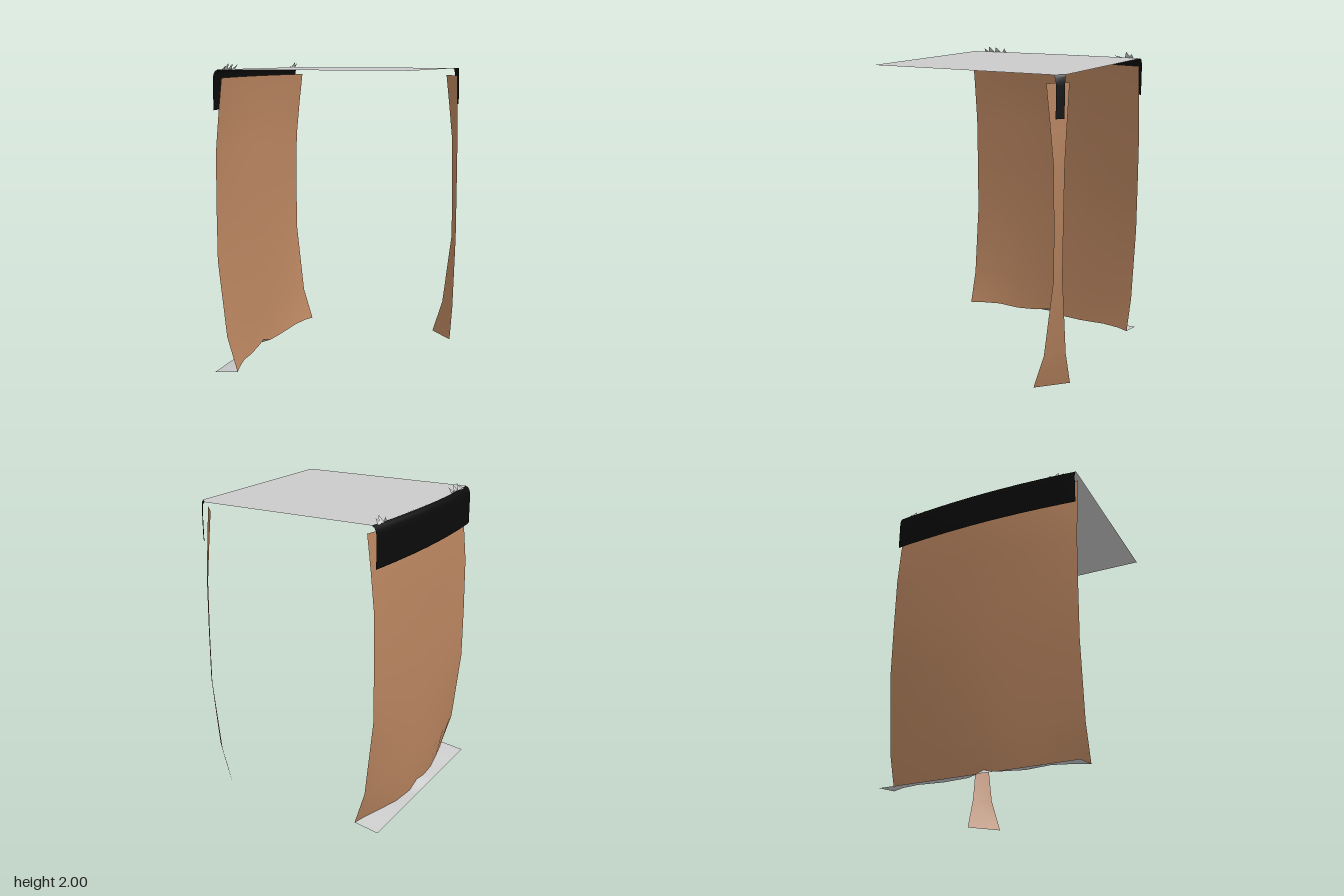
import * as THREE from 'three';

const H = 0.65; // half of the square footprint
const mat = (name, color) => new THREE.MeshStandardMaterial({ name, color, side: THREE.DoubleSide });

// Grid surface from a rule (row, column) -> [x, y, z]
function surface(rows, cols, rule) {
  const pos = [], index = [];
  for (let r = 0; r < rows; r++) {
    for (let c = 0; c < cols; c++) pos.push(...rule(r, c));
  }
  for (let r = 0; r < rows - 1; r++) {
    for (let c = 0; c < cols - 1; c++) {
      const a = r * cols + c, b = a + cols;
      index.push(a, a + 1, b, b, a + 1, b + 1);
    }
  }
  const g = new THREE.BufferGeometry();
  g.setAttribute('position', new THREE.Float32BufferAttribute(pos, 3));
  g.setIndex(index);
  g.computeVertexNormals();
  return g;
}

export function createModel() {
  const group = new THREE.Group();
  const brown = mat('brown', 0xb8845f);
  const black = mat('black', 0x0a0a0a);
  const grey = mat('grey', 0xcacaca);
  const add = (name, geometry, material) => {
    const m = new THREE.Mesh(geometry, material);
    m.name = name;
    group.add(m);
  };

  // Stations along the wall, with the wavy height of its lower edge
  const hem = [
    [-0.65, 0.025], [-0.57, 0.03], [-0.45, 0.025], [-0.25, 0.005], [-0.08, 0.005], [0.02, 0.04],
    [0.13, 0.018], [0.28, 0.01], [0.43, 0.027], [0.57, 0.025], [0.65, 0.02],
  ];
  const bow = (z) => (z / H) ** 2;

  // Wall profile: height, x at the ends, x in the middle
  const wall = [
    [0.025, -0.485, -0.59], [0.25, -0.555, -0.62], [0.75, -0.61, -0.645],
    [1.1, -0.61, -0.648], [1.45, -0.605, -0.645], [1.7, -0.58, -0.638], [1.91, -0.555, -0.615],
  ];
  const wallX = (r, z) => wall[r][2] + (wall[r][1] - wall[r][2]) * bow(z);
  add('sideWall', surface(wall.length, hem.length, (r, c) => {
    const [z, low] = hem[c];
    return [wallX(r, z), r ? wall[r][0] : low, z];
  }), brown);

  // Floor strip from the outer edge to the foot of the wall
  add('floorStrip', surface(2, hem.length, (r, c) => {
    const [z, low] = hem[c];
    return r ? [wallX(0, z), low, z] : [-H, 0, z];
  }), grey);

  // Rounded black band over the top of the wall
  const band = [[-0.65, 1.71], [-0.65, 1.9], [-0.645, 1.93], [-0.635, 1.95], [-0.617, 1.96]];
  add('topBand', surface(band.length, hem.length, (r, c) => {
    const z = hem[c][0];
    return [band[r][0] + 0.035 * bow(z), band[r][1], z];
  }), black);

  // Narrow panel across the back corner: height, distance cut from the corner
  const strip = [
    [0.025, 0.17], [0.25, 0.1], [0.75, 0.04], [1.1, 0.042], [1.45, 0.05], [1.7, 0.076], [1.91, 0.1],
  ];
  const diagonal = (profile) => surface(profile.length, 2, (r, c) => {
    const [y, d] = profile[r];
    return c ? [H, y, -H + d] : [H - d, y, -H];
  });
  add('cornerPanel', diagonal(strip), brown);
  add('cornerBand', diagonal([[1.71, 0.038], [1.9, 0.038], [1.945, 0.043], [1.96, 0.055]]), black);

  // Flat roof, curved along the wall and cut at the back corner
  const roof = new THREE.Shape();
  roof.moveTo(H, -H);
  roof.lineTo(H, H - 0.055);
  roof.lineTo(H - 0.055, H);
  for (let i = hem.length - 1; i >= 0; i--) {
    const z = -hem[i][0];
    roof.lineTo(-0.617 + 0.035 * bow(z), -hem[hem.length - 1 - i][0]);
  }
  const roofGeo = new THREE.ShapeGeometry(roof);
  roofGeo.rotateX(-Math.PI / 2).translate(0, 1.96, 0);
  add('roof', roofGeo, grey);

  // Small ragged tears standing up at the roof edge: z start, tip z, z end, tip height
  const tears = [
    [0.57, 0.56, 0.53, 1.985], [0.54, 0.52, 0.485, 2], [0.49, 0.465, 0.43, 1.995], [0.43, 0.395, 0.39, 1.99],
    [-0.54, -0.46, -0.5, 1.975], [-0.53, -0.55, -0.585, 2], [-0.57, -0.585, -0.6, 1.99],
  ];
  const tearPos = tears.flatMap(([a, t, b, y]) => [-0.6, 1.955, a, -0.57, y, t, -0.595, 1.955, b]);
  const tearGeo = new THREE.BufferGeometry();
  tearGeo.setAttribute('position', new THREE.Float32BufferAttribute(tearPos, 3));
  tearGeo.computeVertexNormals();
  add('roofTears', tearGeo, grey);

  return group;
}
